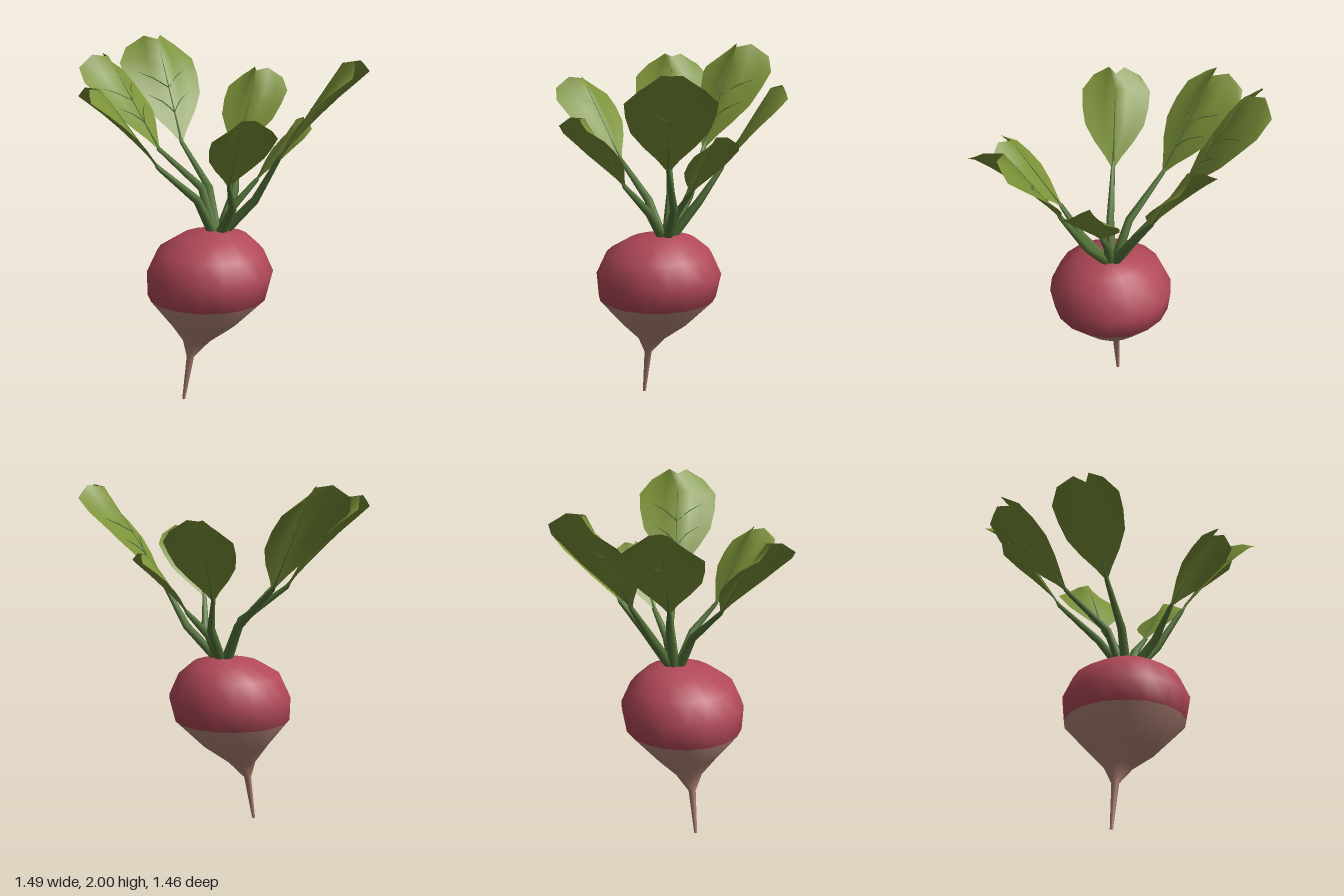
import * as THREE from 'three';

const V = (x, y, z) => new THREE.Vector3(x, y, z);
const paint = (name, color, side = THREE.FrontSide) => {
  const m = new THREE.MeshStandardMaterial({ color, side });
  m.name = name;
  return m;
};

// Tube of varying radius along a path; rings share an axis or follow the path
function loft(points, radii, sides, axis) {
  const pos = [], index = [];
  points.forEach((p, i) => {
    const next = points[Math.min(i + 1, points.length - 1)];
    const t = axis || next.clone().sub(points[Math.max(i - 1, 0)]).normalize();
    const e1 = V(1, 0.2, 0.37).cross(t).normalize();
    const e2 = t.clone().cross(e1);
    for (let j = 0; j < sides; j++) {
      const a = (j / sides) * Math.PI * 2;
      const q = p.clone().addScaledVector(e1, radii[i] * Math.cos(a)).addScaledVector(e2, radii[i] * Math.sin(a));
      pos.push(q.x, q.y, q.z);
    }
  });
  for (let i = 0; i < points.length - 1; i++) {
    for (let j = 0; j < sides; j++) {
      const k = (j + 1) % sides;
      const a = i * sides + j, b = i * sides + k;
      index.push(a, b, a + sides, b, b + sides, a + sides);
    }
  }
  return build(pos, index);
}

function build(pos, index) {
  const g = new THREE.BufferGeometry();
  g.setAttribute('position', new THREE.Float32BufferAttribute(pos, 3));
  g.setIndex(index);
  g.computeVertexNormals();
  return g;
}

// Leaf surface: t runs along the midrib, c from edge (-1) to edge (1)
const LEAF_ROWS = [[0, 0.015], [0.12, 0.09], [0.28, 0.21], [0.46, 0.315], [0.66, 0.355], [0.84, 0.365], [1, 0.25]];
const LEAF_COLS = [-1, -0.65, -0.33, 0, 0.33, 0.65, 1];

function leafSurface(base, tip) {
  const d = tip.clone().sub(base);
  const len = d.length();
  d.normalize();
  const s = d.clone().cross(V(0, 1, 0)).normalize();
  const n = s.clone().cross(d);
  return (t, c, lift = 0) => {
    let i = 0;
    while (i < LEAF_ROWS.length - 2 && LEAF_ROWS[i + 1][0] < t) i++;
    const [t0, w0] = LEAF_ROWS[i], [t1, w1] = LEAF_ROWS[i + 1];
    const w = w0 + ((w1 - w0) * (t - t0)) / (t1 - t0);
    const a = Math.abs(c);
    // lobes on both sides of the notched tip
    const lobe = a === 0 ? 0 : 0.085 - 0.11 * Math.max(0, a - 0.33);
    const u = t + lobe * Math.max(0, (t - 0.84) / 0.16);
    return base.clone()
      .addScaledVector(d, u * len)
      .addScaledVector(s, c * w * len)
      .addScaledVector(n, lift - 0.185 * t * t * Math.pow(a, 0.55) * len);
  };
}

function leafGeometry(surface) {
  const pos = [], index = [], n = LEAF_COLS.length;
  for (const [t] of LEAF_ROWS) for (const c of LEAF_COLS) pos.push(...surface(t, c).toArray());
  for (let i = 0; i < LEAF_ROWS.length - 1; i++) {
    for (let j = 0; j < n - 1; j++) {
      const a = i * n + j;
      index.push(a, a + 1, a + n, a + 1, a + n + 1, a + n);
    }
  }
  return build(pos, index);
}

export function createModel() {
  const model = new THREE.Group();
  model.name = 'radish';
  const red = paint('radish red', 0xb14858);
  const tan = paint('root tan', 0xb38578);
  const stemGreen = paint('stem green', 0x537238);
  const leafGreen = paint('leaf green', 0x7c9238, THREE.DoubleSide);
  const add = (parent, name, geometry, material) => {
    const mesh = new THREE.Mesh(geometry, material);
    mesh.name = name;
    parent.add(mesh);
  };

  // Bulb and tap root: x centre, height, z centre, radius
  const rings = [
    [-0.2, 0, 0.11, 0], [-0.2, 0.002, 0.11, 0.009], [-0.16, 0.26, 0.11, 0.021],
    [-0.122, 0.36, 0.11, 0.08], [-0.083, 0.465, 0.115, 0.188], [-0.062, 0.628, 0.115, 0.335],
    [-0.046, 0.765, 0.115, 0.354], [-0.044, 0.89, 0.115, 0.297], [-0.02, 0.968, 0.11, 0.19],
    [0, 1.0, 0.1, 0.07], [0, 1.0, 0.1, 0],
  ];
  const sides = 18;
  const bulb = loft(rings.map(([x, y, z]) => V(x, y, z)), rings.map((r) => r[3]), sides, V(0, 1, 0));
  const rootCount = 5 * sides * 6;
  bulb.addGroup(0, rootCount, 0);
  bulb.addGroup(rootCount, bulb.index.count - rootCount, 1);
  add(model, 'bulb', bulb, [tan, red]);

  // Leaves: stem bend, leaf base, leaf tip, whether large enough for side veins
  const leaves = [
    [V(-0.01, 1.2, -0.08), V(-0.13, 1.43, -0.28), V(-0.21, 1.985, -0.59), true],
    [V(0.05, 1.15, 0.25), V(0, 1.31, 0.38), V(0.018, 1.705, 0.64), false],
    [V(0.13, 1.19, -0.03), V(0.17, 1.37, -0.16), V(0.335, 1.815, -0.365), false],
    [V(0.09, 1.13, 0.1), V(0.22, 1.27, 0.1), V(0.44, 1.605, 0.11), false],
    [V(0.19, 1.18, 0.19), V(0.29, 1.43, 0.305), V(0.565, 1.96, 0.5), true],
    [V(-0.12, 1.18, 0.13), V(-0.34, 1.38, 0.16), V(-0.645, 1.82, 0.205), false],
    [V(-0.07, 1.22, 0.01), V(-0.285, 1.42, -0.14), V(-0.53, 1.92, -0.36), true],
  ];
  for (const [bend, base, tip, large] of leaves) {
    const leaf = new THREE.Group();
    leaf.name = 'leaf';
    model.add(leaf);

    const out = V(bend.x, 0, bend.z - 0.1).normalize();
    const foot = V(0, 0.98, 0.1).addScaledVector(out, 0.028);
    const end = base.clone().lerp(tip, 0.08);
    add(leaf, 'stem', loft([foot, bend, base, end], [0.03, 0.024, 0.013, 0.004], 6), stemGreen);

    const surface = leafSurface(base, tip);
    add(leaf, 'blade', leafGeometry(surface), leafGreen);

    // Midrib, and paired side veins on the large leaves
    const midrib = [0, 0.3, 0.6, 0.9].map((t) => surface(t, 0));
    add(leaf, 'midrib', loft(midrib, [0.008, 0.004, 0.003, 0.001], 4), stemGreen);
    if (!large) continue;
    for (const side of [-1, 1]) {
      for (const t of [0.28, 0.52]) {
        const path = [[0, 0], [0.06, 0.165], [0.12, 0.33], [0.2, 0.65]]
          .map(([dt, c]) => surface(t + dt, c * side, 0.003));
        add(leaf, 'sideVein', loft(path, [0.003, 0.003, 0.003, 0.001], 4), stemGreen);
      }
    }
  }
  return model;
}
